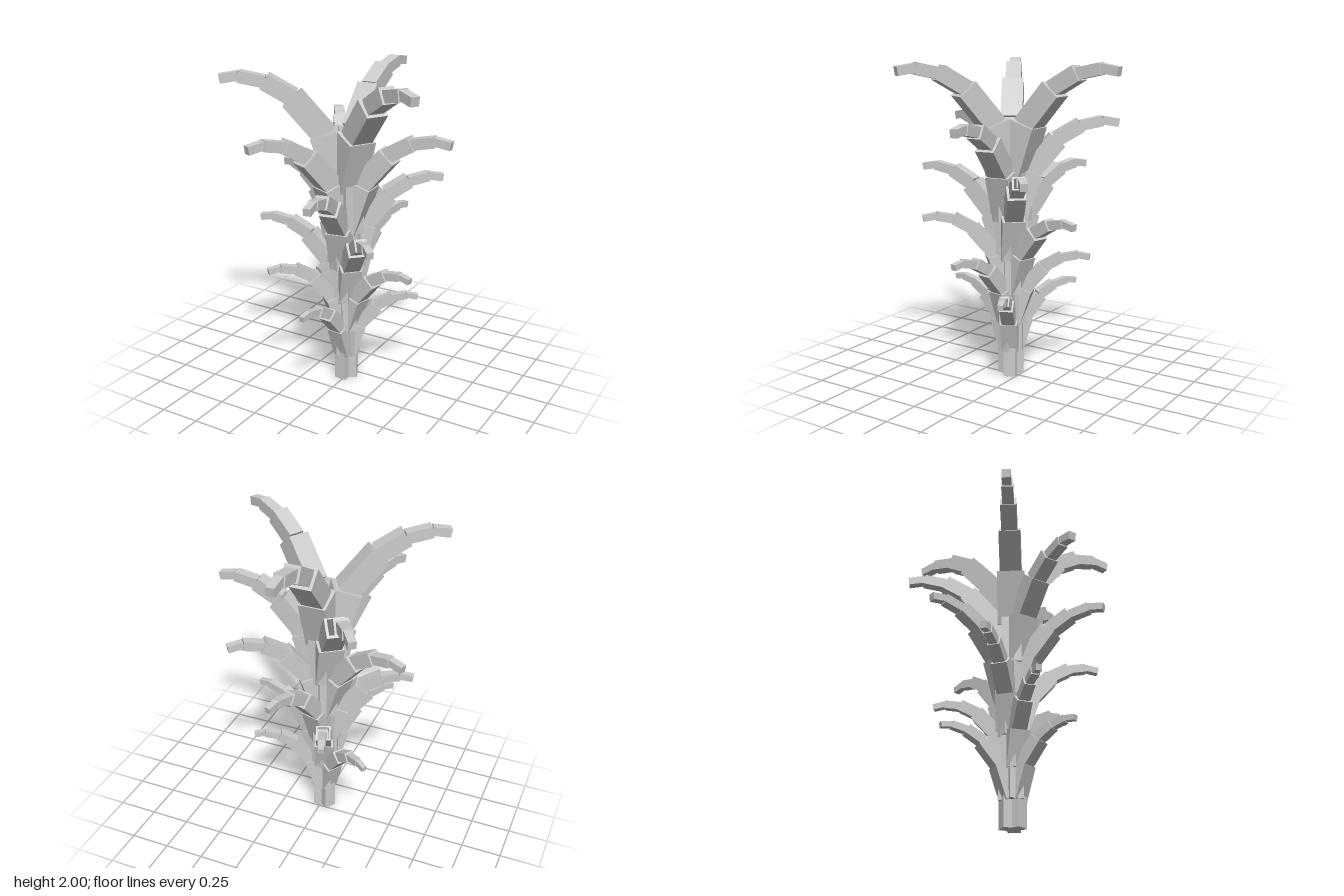
import * as THREE from 'three';

const material = new THREE.MeshStandardMaterial({ color: 0xcccccc, flatShading: true });

// One leaf in its own plane: [name, start radius, start height, end radius, end height, thickness]
const SEGMENTS = [
  ['leafStalk', 0.034, 0, 0.034, 0.19, 0.077],
  ['leafBase', 0.011, 0.177, 0.078, 0.377, 0.107],
  ['leafLower', 0.076, 0.37, 0.194, 0.508, 0.084],
  ['leafMiddle', 0.189, 0.509, 0.293, 0.569, 0.062],
  ['leafUpper', 0.291, 0.566, 0.386, 0.586, 0.044],
  ['leafTip', 0.384, 0.588, 0.454, 0.577, 0.034],
];

// Square bar between two points of the leaf plane
function bar([name, r0, y0, r1, y1, thick]) {
  const dr = r1 - r0, dy = y1 - y0;
  const mesh = new THREE.Mesh(new THREE.BoxGeometry(Math.hypot(dr, dy), thick, thick), material);
  mesh.position.set((r0 + r1) / 2, (y0 + y1) / 2, 0);
  mesh.rotation.z = Math.atan2(dy, dr);
  mesh.name = name;
  return mesh;
}

function makeLeaf(angle) {
  const leaf = new THREE.Group();
  leaf.name = 'leaf';
  SEGMENTS.forEach((s) => leaf.add(bar(s)));
  leaf.rotation.y = THREE.MathUtils.degToRad(angle);
  return leaf;
}

export function createModel() {
  const plant = new THREE.Group();
  plant.name = 'plant';
  // Six whorls of three leaves, each larger, higher and turned from the one below
  for (let i = 0; i < 6; i++) {
    const whorl = new THREE.Group();
    whorl.name = 'whorl' + (i + 1);
    const scale = 1.1 ** i;
    for (let k = 0; k < 3; k++) whorl.add(makeLeaf(25 - 35 * i + 120 * k));
    whorl.scale.setScalar(scale);
    whorl.position.set(-0.012, 1.667 * (scale - 1), 0.063);
    plant.add(whorl);
  }
  return plant;
}
